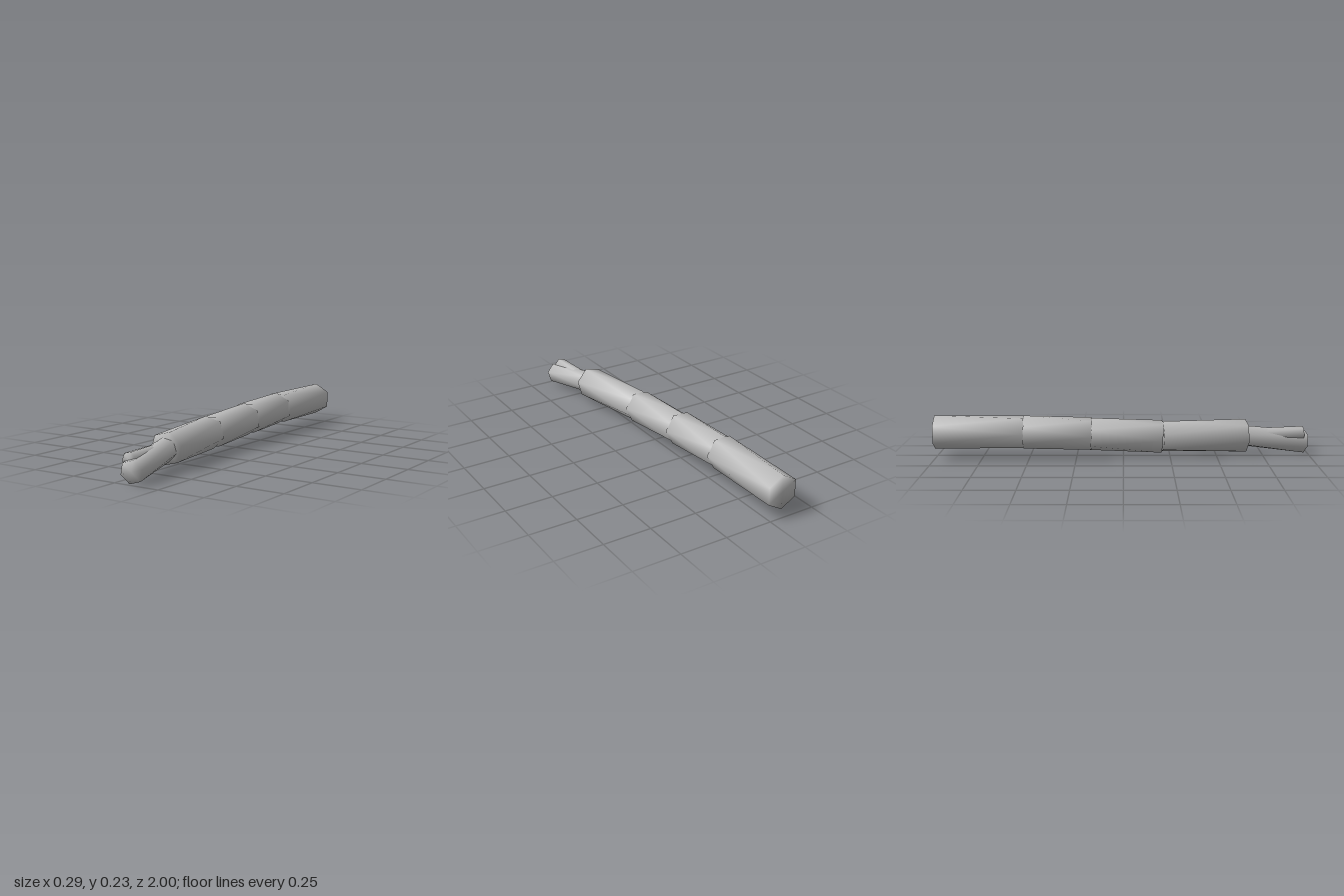
import * as THREE from 'three';

const SIDES = 6;
const STEP = (Math.PI * 2) / SIDES;

// Six-sided stick whose back ring is turned half a side against its front ring.
// Shared vertices give the softly shaded edges and caps.
function twistedStick(back, front, radius, phaseDegrees) {
  const a = new THREE.Vector3(...back);
  const b = new THREE.Vector3(...front);
  const dir = b.clone().sub(a).normalize();
  const u = new THREE.Vector3(1, 0, 0).addScaledVector(dir, -dir.x).normalize();
  const v = dir.clone().cross(u);
  const phase = THREE.MathUtils.degToRad(phaseDegrees);
  const points = [];
  const ring = (centre, start) => {
    for (let i = 0; i < SIDES; i++) {
      const t = start + i * STEP;
      points.push(centre.clone()
        .addScaledVector(u, radius * Math.cos(t))
        .addScaledVector(v, radius * Math.sin(t)));
    }
  };
  ring(b, phase);
  ring(a, phase + STEP / 2);
  points.push(b, a);

  const index = [];
  const frontCentre = SIDES * 2;
  const backCentre = frontCentre + 1;
  for (let i = 0; i < SIDES; i++) {
    const j = (i + 1) % SIDES;
    const bi = SIDES + i;
    const bj = SIDES + j;
    index.push(i, bi, j, bi, bj, j); // sides
    index.push(frontCentre, i, j, backCentre, bj, bi); // caps
  }
  const geometry = new THREE.BufferGeometry().setFromPoints(points);
  geometry.setIndex(index);
  geometry.computeVertexNormals();
  return geometry;
}

export function createModel() {
  const group = new THREE.Group();
  group.name = 'branch';
  const gray = new THREE.MeshStandardMaterial({ color: 0xbcbcbc });
  gray.name = 'light gray';

  // name, back centre, front centre, radius, phase of the front ring
  const parts = [
    ['rearSegment', [-0.062, 0.145, -1], [-0.057, 0.147, -0.527], 0.09, 0],
    ['rearMiddleSegment', [-0.061, 0.145, -0.53], [-0.045, 0.135, -0.17], 0.09, 3],
    ['frontMiddleSegment', [-0.045, 0.132, -0.175], [-0.027, 0.116, 0.205], 0.089, 6],
    ['frontSegment', [-0.027, 0.116, 0.205], [0.035, 0.11, 0.66], 0.088, 14],
    ['thickTwig', [0.035, 0.108, 0.655], [0.09, 0.063, 0.988], 0.06, 15],
    ['thinTwig', [0.035, 0.11, 0.655], [0.065, 0.115, 0.973], 0.039, 12],
  ];
  for (const [name, back, front, radius, phase] of parts) {
    const mesh = new THREE.Mesh(twistedStick(back, front, radius, phase), gray);
    mesh.name = name;
    group.add(mesh);
  }
  return group;
}
